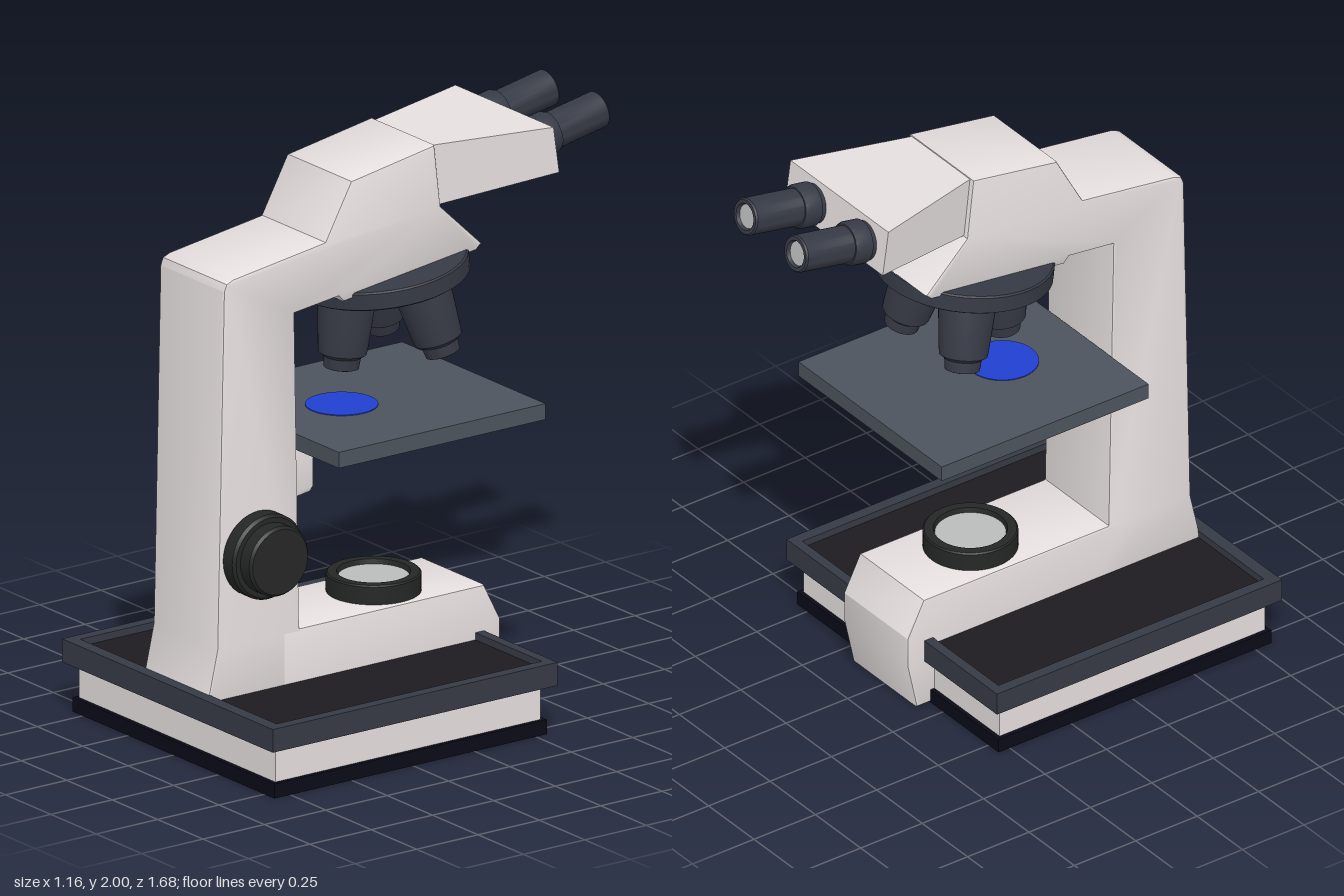
import * as THREE from 'three';
import { toCreasedNormals } from 'three/addons/utils/BufferGeometryUtils.js';

const mat = (color) => new THREE.MeshStandardMaterial({ color });

export function createModel() {
  const root = new THREE.Group();
  const ivory = mat(0xe6dfdf), slate = mat(0x363a45), stageGrey = mat(0x4d545d);
  const black = mat(0x252726), floorDark = mat(0x1d1b21), footDark = mat(0x0b0b18);
  const glass = mat(0xb9bdbb), blue = mat(0x2040d0);

  function add(name, geo, material, x = 0, y = 0, z = 0, parent = root) {
    const m = new THREE.Mesh(geo, material);
    m.name = name;
    m.position.set(x, y, z);
    parent.add(m);
    return m;
  }
  // box given by its limits
  const box = (name, material, x0, x1, y0, y1, z0, z1) =>
    add(name, new THREE.BoxGeometry(x1 - x0, y1 - y0, z1 - z0), material,
      (x0 + x1) / 2, (y0 + y1) / 2, (z0 + z1) / 2);
  // turned part from [radius, height] pairs, with sharp rims
  const turned = (pts) => toCreasedNormals(
    new THREE.LatheGeometry(pts.map(([r, y]) => new THREE.Vector2(r, y)), 40), 0.5);
  // side profile of [z, y] pairs, extruded across x
  function profile(name, pts, x0, x1) {
    const shape = new THREE.Shape(pts.map(([z, y]) => new THREE.Vector2(-z, y)));
    const b = 0.008;
    const geo = new THREE.ExtrudeGeometry(shape, {
      depth: x1 - x0 - 2 * b, bevelThickness: b, bevelSize: b, bevelOffset: -b, bevelSegments: 2,
    });
    const m = add(name, toCreasedNormals(geo, 0.45), ivory, x0 + b, 0, 0);
    m.rotation.y = Math.PI / 2;
    return m;
  }

  // Base: plinth, body and rimmed tray
  box('basePlinth', footDark, -0.555, 0.555, 0, 0.05, -0.295, 0.815);
  box('baseBody', ivory, -0.54, 0.54, 0.05, 0.17, -0.28, 0.8);
  box('trayFloor', floorDark, -0.55, 0.55, 0.17, 0.225, -0.3, 0.81);
  const rect = (S, x0, x1, y0, y1) => {
    const s = new S();
    s.moveTo(x0, y0); s.lineTo(x1, y0); s.lineTo(x1, y1); s.lineTo(x0, y1); s.closePath();
    return s;
  };
  const rim = rect(THREE.Shape, -0.58, 0.58, -0.84, 0.32);
  rim.holes.push(rect(THREE.Path, -0.54, 0.54, -0.795, 0.285));
  const rimMesh = add('trayRim', new THREE.ExtrudeGeometry(rim, { depth: 0.08, bevelEnabled: false }),
    slate, 0, 0.17, 0);
  rimMesh.rotation.x = -Math.PI / 2;

  // Foot that wraps over the back edge of the base
  profile('foot', [[0.5, 0.002], [-0.35, 0.002], [-0.387, 0.17], [-0.387, 0.28], [-0.322, 0.408],
    [0.5, 0.408]], -0.18, 0.175);

  // Arm and head in one side profile
  profile('armAndHead', [
    [0.81, 0.2], [0.765, 0.4], [0.738, 1.63], [0.728, 1.655], [0.7, 1.667], [0.325, 1.72],
    [0.22, 1.91], [-0.12, 1.967], [-0.145, 1.75], [-0.312, 1.59], [-0.29, 1.57], [0.25, 1.5],
    [0.27, 1.522], [0.45, 1.5], [0.43, 0.41], [0.4, 0.39], [0.4, 0.2],
  ], -0.18, 0.175);

  // Binocular housing: a box whose back end is wider
  const housing = new THREE.BoxGeometry(1, 1, 1);
  const p = housing.attributes.position;
  for (let i = 0; i < p.count; i++) {
    const front = p.getZ(i) > 0, top = p.getY(i) > 0, side = Math.sign(p.getX(i));
    p.setXYZ(i, side * (front ? 0.158 : 0.27),
      front ? (top ? 1.963 : 1.752) : (top ? 1.972 : 1.812),
      front ? (top ? -0.11 : -0.135) : (top ? -0.533 : -0.556));
  }
  housing.computeVertexNormals();
  add('binocularHousing', housing, ivory);

  // Eyepieces
  const tube = turned([[0, -0.03], [0.068, -0.03], [0.068, 0.02], [0.075, 0.02], [0.075, 0.07],
    [0.068, 0.085], [0.063, 0.085], [0.063, 0.28], [0.058, 0.286], [0.046, 0.286], [0.04, 0.27], [0, 0.27]]);
  for (const x of [-0.153, 0.125]) {
    const eyepiece = new THREE.Group();
    eyepiece.name = 'eyepiece';
    eyepiece.position.set(x, 1.885, -0.545);
    eyepiece.rotation.x = 0.19 - Math.PI / 2;
    root.add(eyepiece);
    add('eyepieceTube', tube, slate, 0, 0, 0, eyepiece);
    add('eyepieceLens', new THREE.CylinderGeometry(0.041, 0.041, 0.006, 32), glass, 0, 0.272, 0, eyepiece);
  }

  // Tilted nosepiece with three splayed objectives
  const nose = new THREE.Group();
  nose.name = 'nosepiece';
  nose.position.set(0, 1.552, -0.02);
  nose.rotation.x = 0.127;
  root.add(nose);
  add('nosepieceDisc', turned([[0, -0.067], [0.285, -0.067], [0.296, -0.06], [0.296, -0.005],
    [0.29, 0], [0, 0]]), slate, 0, 0, 0, nose);
  const barrel = turned([[0, -0.275], [0.05, -0.275], [0.058, -0.272], [0.062, -0.235], [0.08, -0.222],
    [0.083, -0.2], [0.095, -0.06], [0.095, 0.02], [0, 0.02]]);
  for (let i = 0; i < 3; i++) {
    const turn = new THREE.Group();
    turn.name = 'objective';
    turn.rotation.y = i * Math.PI * 2 / 3;
    nose.add(turn);
    const tilt = new THREE.Group();
    tilt.position.set(0, -0.06, 0.135);
    tilt.rotation.x = -0.22;
    turn.add(tilt);
    add('objectiveBarrel', barrel, slate, 0, 0, 0, tilt);
    add('objectiveLens', new THREE.CylinderGeometry(0.042, 0.042, 0.004, 24), glass, 0, -0.275, 0, tilt);
  }

  // Stage, its window, condenser and bracket
  box('stage', stageGrey, -0.397, 0.392, 1.02, 1.075, -0.41, 0.432);
  add('stageWindow', new THREE.CylinderGeometry(0.12, 0.12, 0.006, 40), blue, 0, 1.075, 0.13);
  add('condenser', turned([[0, 0], [0.17, 0], [0.18, 0.008], [0.18, 0.065], [0, 0.065]]),
    stageGrey, 0, 0.957, 0);
  profile('stageBracket', [[0.46, 0.81], [0.315, 0.832], [0.302, 0.85], [0.302, 1.03], [0.46, 1.03]], -0.08, 0.08);

  // Lamp on the foot
  add('lampRing', turned([[0, 0], [0.157, 0], [0.157, 0.062], [0.152, 0.067], [0.122, 0.067],
    [0.117, 0.045], [0, 0.045]]), black, 0, 0.407, 0);
  add('lampGlass', new THREE.CylinderGeometry(0.117, 0.117, 0.006, 40), glass, 0, 0.455, 0);

  // Focus knob on one side
  const knob = add('focusKnob', turned([[0, 0], [0.135, 0], [0.146, 0.01], [0.146, 0.06], [0.137, 0.07],
    [0.12, 0.07], [0.12, 0.118], [0.112, 0.128], [0, 0.128]]), black, 0.172, 0.705, 0.602);
  knob.rotation.z = -Math.PI / 2;

  return root;
}
